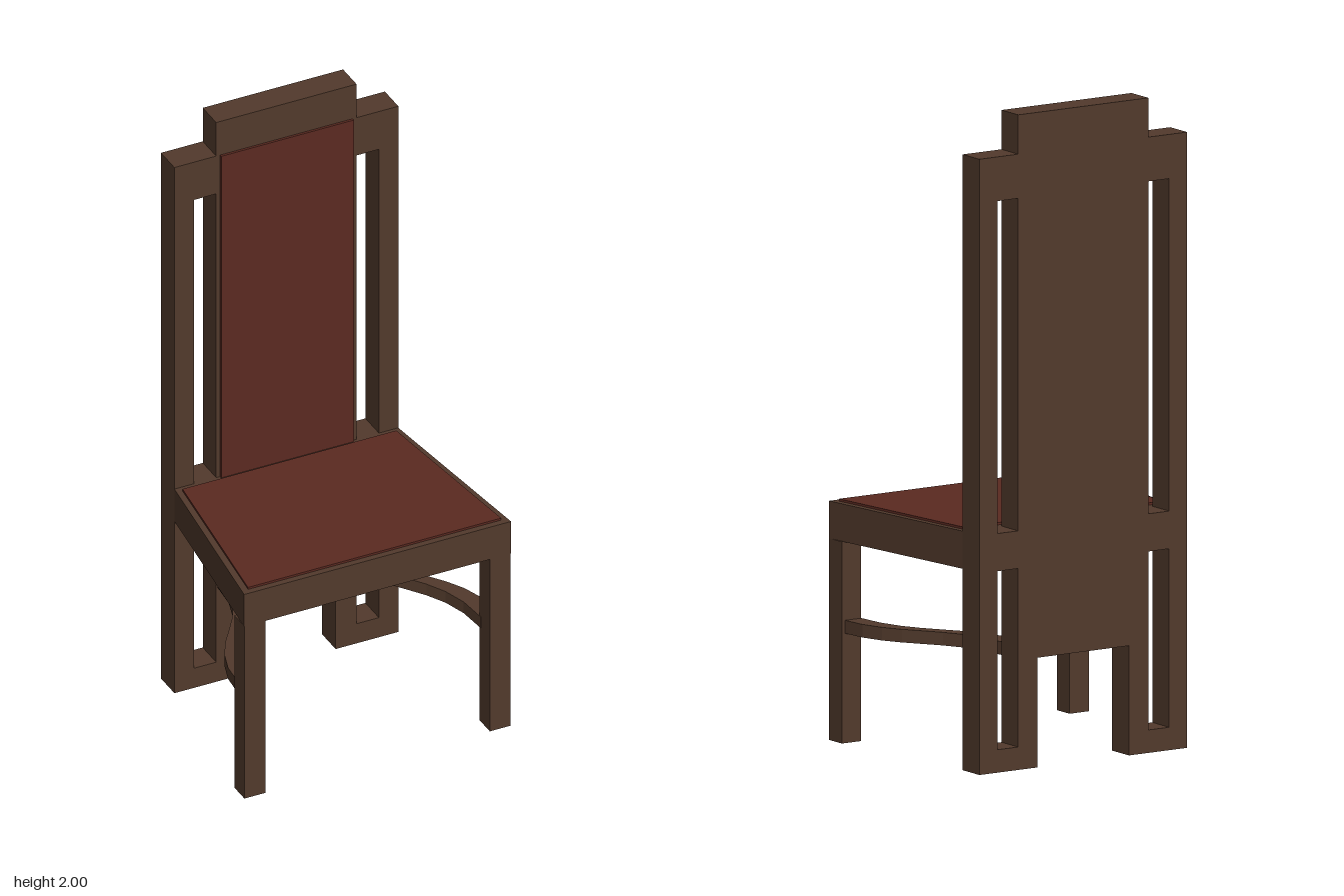
import * as THREE from 'three';

export function createModel() {
  const model = new THREE.Group();
  model.name = 'chair';
  const wood = new THREE.MeshStandardMaterial({ name: 'dark wood', color: 0x523a2c });
  const leather = new THREE.MeshStandardMaterial({ name: 'red leather', color: 0x5b2a21 });

  const add = (name, geometry, material) => {
    const mesh = new THREE.Mesh(geometry, material);
    mesh.name = name;
    model.add(mesh);
    return mesh;
  };
  const polygon = (points) => new THREE.Shape(points.map(([x, y]) => new THREE.Vector2(x, y)));
  const extrude = (shape, depth) =>
    new THREE.ExtrudeGeometry(shape, { depth, bevelEnabled: false, curveSegments: 8 });
  // Plan shapes use (x, z) and rise from y0 to y1
  const slab = (shape, y0, y1) => extrude(shape, y1 - y0).rotateX(Math.PI / 2).translate(0, y1, 0);

  // Tall back: stepped top, open foot, two slots on each side
  const half = [[0.165, 0.335], [0.165, 0], [0.375, 0], [0.375, 1.88], [0.235, 1.88], [0.235, 2]];
  const back = polygon([...half, ...half.map(([x, y]) => [-x, y]).reverse()]);
  for (const s of [-1, 1]) {
    for (const [y0, y1] of [[0.07, 0.615], [0.73, 1.745]]) {
      back.holes.push(polygon([[s * 0.235, y0], [s * 0.31, y0], [s * 0.31, y1], [s * 0.235, y1]]));
    }
  }
  add('backFrame', extrude(back, 0.09).translate(0, 0, -0.35), wood);

  // Thin upholstered back panel with rounded lower corners
  const w = 0.222, r = 0.03, low = 0.465, high = 1.88;
  const panel = new THREE.Shape();
  panel.moveTo(-w, high);
  panel.lineTo(-w, low + r);
  panel.quadraticCurveTo(-w, low, -w + r, low);
  panel.lineTo(w - r, low);
  panel.quadraticCurveTo(w, low, w, low + r);
  panel.lineTo(w, high);
  add('backPad', extrude(panel, 0.008).translate(0, 0, -0.26), leather);

  // Tapered seat and its inset pad
  const trapezoid = (xBack, zBack, xFront, zFront) =>
    polygon([[-xBack, zBack], [xBack, zBack], [xFront, zFront], [-xFront, zFront]]);
  add('seatFrame', slab(trapezoid(0.375, -0.26, 0.447, 0.35), 0.615, 0.73), wood);
  add('seatPad', slab(trapezoid(0.358, -0.24, 0.424, 0.33), 0.729, 0.737), leather);

  for (const s of [-1, 1]) {
    const side = s > 0 ? 'left' : 'right';
    // Front leg
    const leg = new THREE.BoxGeometry(0.07, 0.616, 0.068);
    add(side + 'FrontLeg', leg.translate(s * 0.411, 0.308, 0.316), wood);

    // S-curved stretcher from the front leg to the inner foot of the back
    const t = 0.03;
    const rail = new THREE.Shape();
    rail.moveTo(s * (0.405 + t), 0.29);
    rail.bezierCurveTo(s * (0.405 + t), 0.02, s * (0.2 + t), 0.02, s * (0.2 + t), -0.262);
    rail.lineTo(s * (0.2 - t), -0.262);
    rail.bezierCurveTo(s * (0.2 - t), 0.0, s * (0.405 - t), 0.0, s * (0.405 - t), 0.29);
    add(side + 'Stretcher', slab(rail, 0.335, 0.375), wood);
  }
  return model;
}
